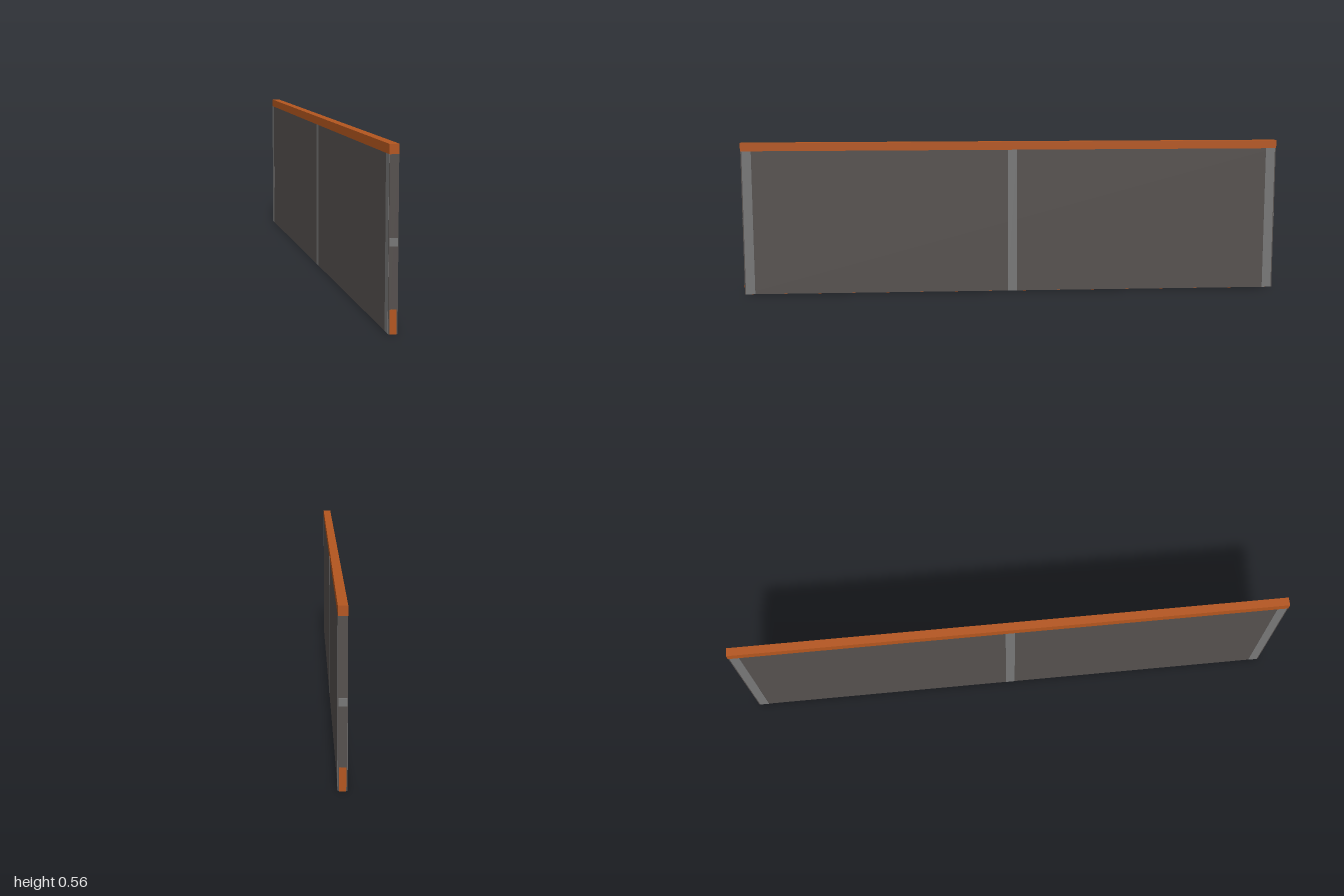
import * as THREE from 'three';

export function createModel() {
  const model = new THREE.Group();
  const material = (color) => new THREE.MeshStandardMaterial({ color });
  const orange = material(0xb4561f);
  const dark = material(0x55504e);
  const grey = material(0x777777);

  // Box given by its lower and upper limits on each axis
  function box(name, mat, [x0, x1], [y0, y1], [z0, z1]) {
    const mesh = new THREE.Mesh(new THREE.BoxGeometry(x1 - x0, y1 - y0, z1 - z0), mat);
    mesh.position.set((x0 + x1) / 2, (y0 + y1) / 2, (z0 + z1) / 2);
    mesh.name = name;
    model.add(mesh);
  }

  // Rails along the top and, between the skins, along the bottom
  box('topRail', orange, [-0.015, 0.015], [0.535, 0.565], [-1, 1]);
  box('bottomRail', orange, [-0.0105, 0.0105], [0, 0.075], [-1, 1]);

  // Core filling and the two outer skins
  box('panelCore', dark, [-0.0105, 0.0105], [0.075, 0.535], [-0.999, 0.999]);
  for (const [name, s] of [['leftSkin', 1], ['rightSkin', -1]]) {
    const x = [0.0105 * s, 0.0144 * s].sort((a, b) => a - b);
    box(name, dark, x, [0.001, 0.535], [-0.999, 0.999]);
  }

  // Upright cover strips, slightly proud of both skins
  for (const z of [-0.978, 0, 0.978]) {
    for (const s of [-1, 1]) {
      const x = [0.0144 * s, 0.015 * s].sort((a, b) => a - b);
      box('coverStrip', grey, x, [0.001, 0.535], [z - 0.017, z + 0.017]);
    }
  }

  // Small connector plates at mid height on both ends
  box('frontConnector', grey, [-0.013, 0.013], [0.264, 0.289], [0.98, 1]);
  box('backConnector', grey, [-0.013, 0.013], [0.264, 0.289], [-1, -0.98]);

  return model;
}
